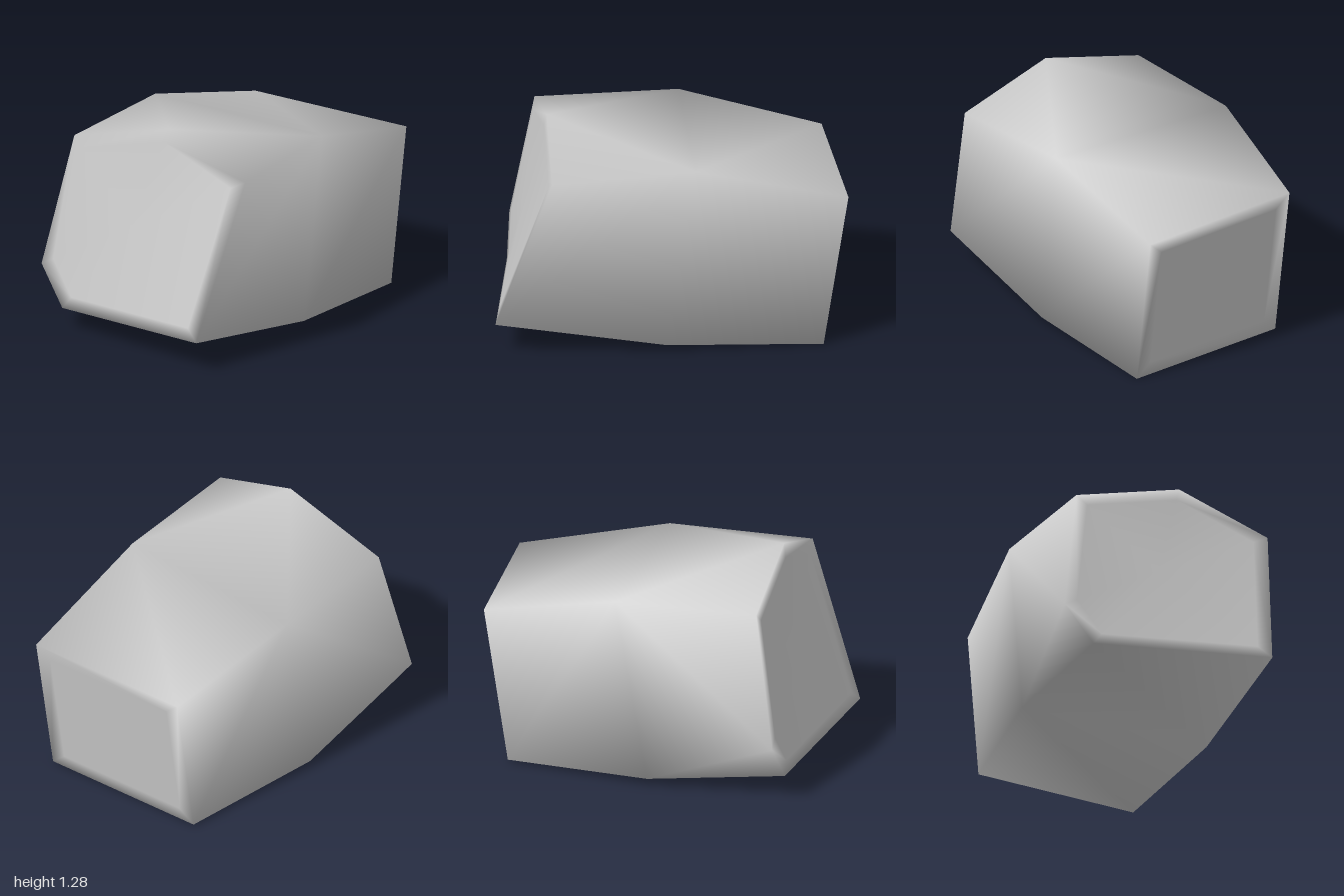
import * as THREE from 'three';

export function createModel() {
  const grey = new THREE.MeshStandardMaterial({ color: 0xcccccc });
  grey.name = 'stoneGrey';

  // cross-sections, each running top front, top back, bottom back, bottom front
  const leftRing = [
    [-0.69, 1.08, 0.665], [-0.67, 1.28, 0.12], [-0.68, 1.11, -0.53],
    [-0.81, 0.35, -0.665], [-0.84, 0.125, -0.5], [-1, 0.18, 0.545],
  ];
  const midRing = [[0.13, 1.105, 0.61], [0.14, 1.112, -0.555], [-0.05, 0.045, -0.565], [-0.03, 0.04, 0.6]];
  const rightRing = [[1, 0.9, 0.575], [0.94, 0.92, -0.43], [0.8, 0.01, -0.43], [0.86, 0, 0.57]];

  const points = [];
  const index = [];
  const add = (ring) => ring.map((p) => points.push(p) - 1);
  const tri = (a, b, c) => {
    if (a !== b && b !== c && a !== c) index.push(a, b, c);
  };

  // sides: match every point of one section to a point of the next
  const bridge = (a, b) => a.forEach((p, i) => {
    const j = (i + 1) % a.length;
    tri(p, b[i], b[j]);
    tri(p, b[j], a[j]);
  });

  // end caps: a narrow rim around a flat inner panel
  const cap = (ids, scale, flip) => {
    const ring = ids.map((i) => points[i]);
    const centre = [0, 1, 2].map((k) => ring.reduce((s, p) => s + p[k], 0) / ring.length);
    const inner = add(ring.map((p) => p.map((v, k) => centre[k] + (v - centre[k]) * scale)));
    const [mid] = add([centre]);
    const face = (a, b, c) => (flip ? tri(a, c, b) : tri(a, b, c));
    ids.forEach((p, i) => {
      const j = (i + 1) % ids.length;
      face(p, ids[j], inner[j]);
      face(p, inner[j], inner[i]);
      face(mid, inner[i], inner[j]);
    });
  };

  const left = add(leftRing);
  const mid = add(midRing);
  const right = add(rightRing);
  bridge(left, [0, 0, 1, 1, 2, 3].map((i) => mid[i]));
  bridge(mid, right);
  cap(left, 0.87, false);
  cap(right, 0.82, true);

  const geometry = new THREE.BufferGeometry();
  geometry.setAttribute('position', new THREE.Float32BufferAttribute(points.flat(), 3));
  geometry.setIndex(index);
  geometry.computeVertexNormals();

  const block = new THREE.Mesh(geometry, grey);
  block.name = 'stoneBlock';
  const group = new THREE.Group();
  group.name = 'stone';
  group.add(block);
  return group;
}
